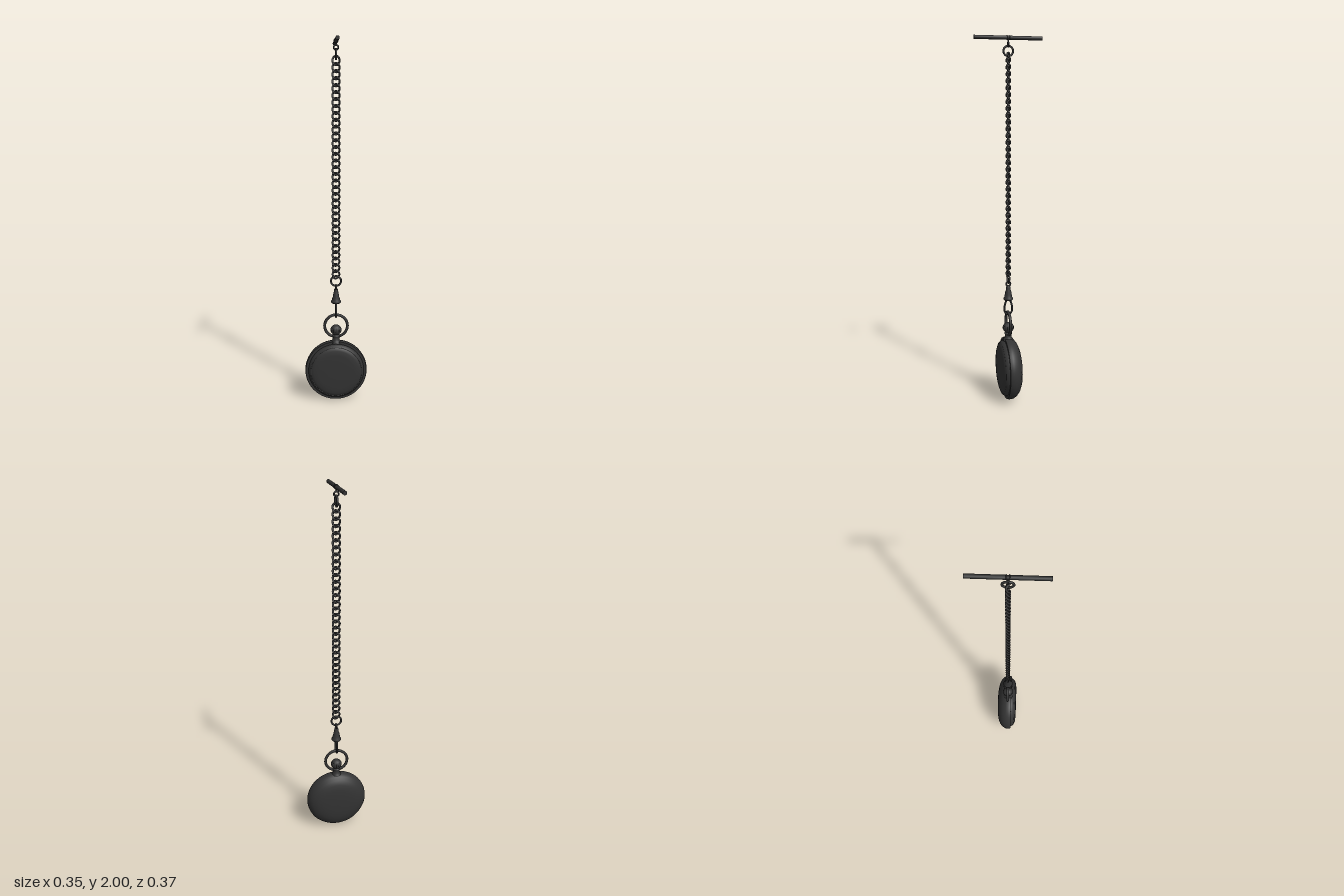
import * as THREE from 'three';

const metal = new THREE.MeshStandardMaterial({ color: 0x333333 });

export function createModel() {
  const model = new THREE.Group();

  const add = (name, geometry, x = 0, y = 0, z = 0, parent = model) => {
    const mesh = new THREE.Mesh(geometry, metal);
    mesh.name = name;
    mesh.position.set(x, y, z);
    parent.add(mesh);
    return mesh;
  };
  const lathe = (points, segments = 32) =>
    new THREE.LatheGeometry(points.map(([r, y]) => new THREE.Vector2(r, y)), segments);
  // Smooth closed tube through a function of the angle
  const loopTube = (fn, radius, steps = 24, sides = 8) => {
    const pts = [];
    for (let i = 0; i < steps; i++) pts.push(new THREE.Vector3(...fn((i / steps) * Math.PI * 2)));
    return new THREE.TubeGeometry(new THREE.CatmullRomCurve3(pts, true), steps * 2, radius, sides, true);
  };
  const ring = (name, r, tube, y, sideways) => {
    const mesh = add(name, new THREE.TorusGeometry(r, tube, 10, 40), 0, y, 0);
    if (sideways) mesh.rotation.y = Math.PI / 2;
    return mesh;
  };

  // Watch: turned profiles, with the axis laid along z
  const watch = new THREE.Group();
  watch.name = 'watch';
  watch.position.y = 0.175;
  watch.rotation.x = Math.PI / 2;
  model.add(watch);
  add('caseBack', lathe([
    [0, -0.066], [0.05, -0.0655], [0.09, -0.062], [0.12, -0.056], [0.145, -0.045],
    [0.162, -0.03], [0.172, -0.013], [0.1745, 0.002], [0.174, 0.012], [0.171, 0.021],
  ], 72), 0, 0, 0, watch);
  add('caseRim', lathe([[0.171, 0.021], [0.15, 0.021]], 72), 0, 0, 0, watch);
  add('bezel', lathe([
    [0.157, 0.02], [0.156, 0.026], [0.151, 0.034], [0.146, 0.04], [0.143, 0.042], [0.14, 0.04],
  ], 72), 0, 0, 0, watch);
  add('crystal', lathe([
    [0.143, 0.039], [0.137, 0.044], [0.125, 0.049], [0.1, 0.052], [0.05, 0.053], [0, 0.053],
  ], 72), 0, 0, 0, watch);

  // Stem and fluted crown
  add('stem', lathe([
    [0.03, 0.335], [0.026, 0.347], [0.019, 0.353], [0.018, 0.37], [0.022, 0.374],
    [0.022, 0.38], [0.014, 0.384],
  ]));
  const crown = new THREE.SphereGeometry(0.03, 72, 20);
  const p = crown.attributes.position;
  for (let i = 0; i < p.count; i++) {
    const x = p.getX(i), y = p.getY(i), z = p.getZ(i);
    const belt = 1 - (y / 0.03) ** 2;
    const k = 1 + 0.05 * belt * Math.cos(18 * Math.atan2(z, x));
    p.setXYZ(i, x * k, y, z * k);
  }
  crown.computeVertexNormals();
  add('crown', crown, 0, 0.41, 0);

  // Bow joining the stem
  ring('bow', 0.064, 0.008, 0.434, false);

  // Clasp: teardrop hook, tapered body and swivel eye
  add('claspHook', loopTube((t) => [
    0, 0.532 + 0.046 * Math.sin(t), 0.021 * Math.cos(t) * (1 - 0.35 * Math.sin(t)),
  ], 0.0055));
  add('claspBody', lathe([
    [0, 0.567], [0.022, 0.567], [0.027, 0.572], [0.027, 0.58], [0.022, 0.585], [0.021, 0.596],
    [0.018, 0.602], [0.017, 0.615], [0.014, 0.622], [0.012, 0.636], [0.011, 0.645], [0.007, 0.65], [0, 0.651],
  ]));
  ring('swivelEye', 0.012, 0.005, 0.659, true);
  ring('lowerRing', 0.028, 0.0055, 0.694, false);

  // Curb chain: identical twisted links
  const chain = new THREE.Group();
  chain.name = 'chain';
  model.add(chain);
  const link = loopTube((t) => [
    0.0185 * Math.cos(t), 0.0235 * Math.sin(t), 0.0075 * Math.sin(2 * t),
  ], 0.0055, 16);
  const count = 33, first = 0.732, last = 1.886;
  for (let i = 0; i < count; i++) {
    add('chainLink', link, 0, first + ((last - first) * i) / (count - 1), 0, chain);
  }

  // Upper rings and crossbar
  ring('upperRing', 0.026, 0.0055, 1.919, true);
  ring('barEye', 0.012, 0.0045, 1.953, false);
  add('barNeck', new THREE.CylinderGeometry(0.005, 0.005, 0.02, 12), 0, 1.97, 0);
  const bar = add('crossbar', new THREE.CylinderGeometry(0.0105, 0.0105, 0.368, 24), 0, 1.987, 0);
  bar.rotation.x = Math.PI / 2;
  for (const z of [-0.007, 0.007]) add('barCollar', new THREE.TorusGeometry(0.0105, 0.0025, 8, 24), 0, 1.987, z);
  return model;
}
